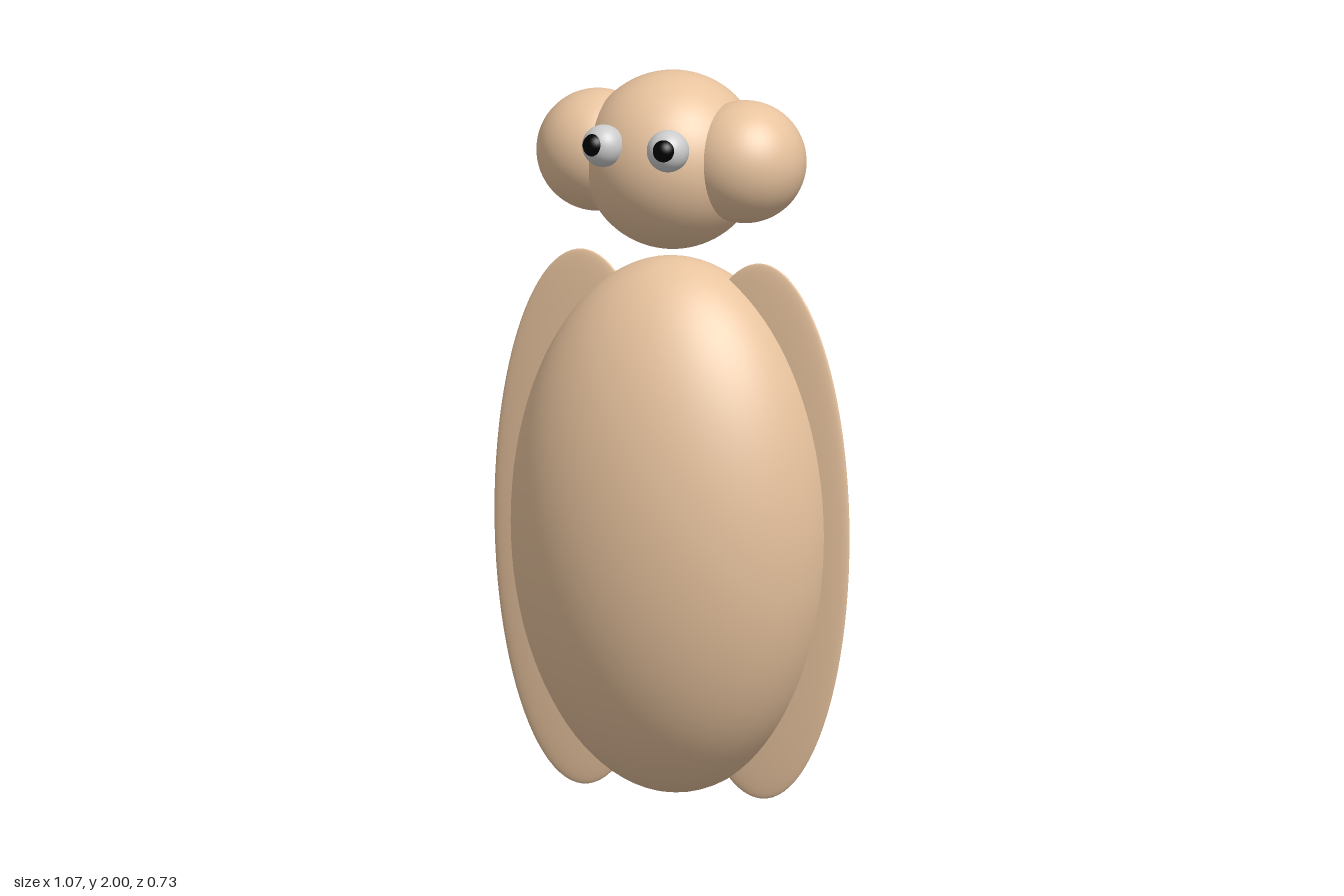
import * as THREE from 'three';

const skin = new THREE.MeshStandardMaterial({ color: 0xe8c39e });
const grey = new THREE.MeshStandardMaterial({ color: 0xcccccc });
const black = new THREE.MeshStandardMaterial({ color: 0x000000 });

// Smooth ellipsoid given its centre and three radii
function ellipsoid(name, material, [x, y, z], [rx, ry, rz]) {
  const geometry = new THREE.SphereGeometry(1, 64, 48).scale(rx, ry, rz);
  const mesh = new THREE.Mesh(geometry, material);
  mesh.name = name;
  mesh.position.set(x, y, z);
  return mesh;
}

const ball = (name, material, centre, r) => ellipsoid(name, material, centre, [r, r, r]);

export function createModel() {
  const model = new THREE.Group();
  model.name = 'roundEaredCreature';

  // Egg-shaped body and round head
  model.add(ellipsoid('body', skin, [0.005, 0.743, 0], [0.46, 0.743, 0.367]));
  model.add(ball('head', skin, [0.002, 1.755, -0.001], 0.245));

  for (const side of [-1, 1]) {
    const label = side > 0 ? 'left' : 'right';

    // Thin flat arm along the side of the body
    model.add(ellipsoid(label + 'Arm', skin, [side * 0.268, 0.743, 0], [0.265, 0.743, 0.026]));

    // Round ear sunk into the head
    model.add(ball(label + 'Ear', skin, [0.004 + side * 0.221, 1.768, 0.012], 0.168));

    // Eye with a pupil looking slightly outward
    const eye = new THREE.Group();
    eye.name = label + 'Eye';
    eye.add(ball('eyeball', grey, [-0.006 + side * 0.097, 1.823, 0.225], 0.058));
    eye.add(ball('pupil', black, [-0.008 + side * 0.105, 1.829, 0.26], 0.033));
    model.add(eye);
  }
  return model;
}
